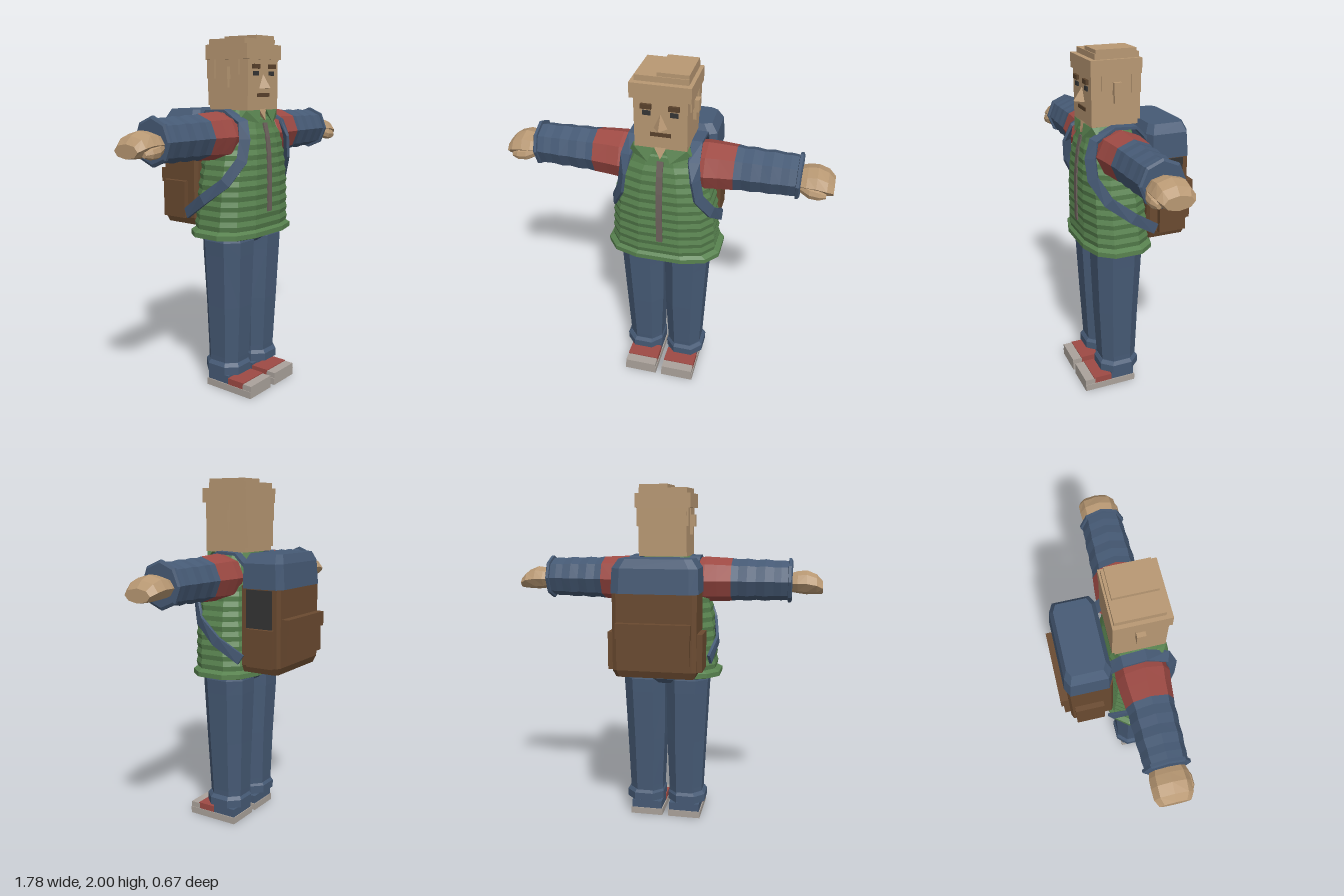
import * as THREE from 'three';
import { ConvexGeometry } from 'three/addons/geometries/ConvexGeometry.js';

const V = (x, y, z) => new THREE.Vector3(x, y, z);
const paint = (name, color) => Object.assign(new THREE.MeshStandardMaterial({ color }), { name });
const skin = paint('skin', 0xb89873), blue = paint('denim blue', 0x465a75), green = paint('vest green', 0x58824f);
const red = paint('sleeve red', 0x9e4a44), brown = paint('pack brown', 0x6a4a30), grey = paint('sole grey', 0xaaa29b);
const metal = paint('zip grey', 0x6c605c), dark = paint('dark grey', 0x343434), brow = paint('brow brown', 0x5a422c);

// Closed faceted skin over cross-sections that run counter-clockwise about the path
function loft(rings) {
  const n = rings[0].length, pos = [], tri = (...p) => p.forEach(q => pos.push(q.x, q.y, q.z));
  for (let i = 0; i < rings.length - 1; i++) for (let j = 0; j < n; j++) {
    const k = (j + 1) % n, a = rings[i], b = rings[i + 1];
    tri(a[j], a[k], b[k]);
    tri(a[j], b[k], b[j]);
  }
  const first = rings[0], last = rings[rings.length - 1];
  for (let j = 1; j < n - 1; j++) {
    tri(first[0], first[j + 1], first[j]);
    tri(last[0], last[j], last[j + 1]);
  }
  const g = new THREE.BufferGeometry();
  g.setAttribute('position', new THREE.Float32BufferAttribute(pos, 3));
  g.computeVertexNormals();
  return g;
}

// Unit cross-section; a small exponent makes it squarer
function section(n, e, turn) {
  const pw = v => Math.sign(v) * Math.abs(v) ** e;
  return Array.from({ length: n }, (_, j) => {
    const a = (j + turn) / n * Math.PI * 2;
    return [pw(Math.cos(a)), pw(Math.sin(a))];
  });
}
// Upright loft, rows are [y, centre x, half width, back z, front z]
const upright = (rows, n, e) => loft(rows.map(([y, cx, rx, z0, z1]) =>
  section(n, e, 0.5).map(([c, s]) => V(cx + rx * s, y, (z0 + z1) / 2 + (z1 - z0) / 2 * c))));
// Sideways loft, rows are [x, half height, half depth, centre y, centre z]
const sideways = rows => loft(rows.map(([x, ry, rz, cy = 1.465, cz = 0.105]) =>
  section(8, 1, 0).map(([c, s]) => V(x, cy + ry * c, cz + rz * s))));
// Flat band along points [x, y, z, normal x, normal y, normal z]
function band(pts, width, thick) {
  const p = pts.map(q => V(q[0], q[1], q[2]));
  return loft(p.map((c, i) => {
    const t = p[Math.min(i + 1, p.length - 1)].clone().sub(p[Math.max(i - 1, 0)]).normalize();
    const m = V(...pts[i].slice(3));
    m.addScaledVector(t, -m.dot(t)).normalize();
    const w = t.clone().cross(m);
    return [[1, 1], [-1, 1], [-1, -1], [1, -1]].map(([a, b]) =>
      c.clone().addScaledVector(m, a * thick / 2).addScaledVector(w, b * width / 2));
  }));
}
const box = (x0, x1, y0, y1, z0, z1) => new THREE.BoxGeometry(x1 - x0, y1 - y0, z1 - z0)
  .translate((x0 + x1) / 2, (y0 + y1) / 2, (z0 + z1) / 2);

function mirrored(geo) {
  const g = geo.index ? geo.toNonIndexed() : geo.clone(), p = g.attributes.position;
  g.scale(-1, 1, 1);
  for (let i = 0; i < p.count; i += 3) {
    const a = V().fromBufferAttribute(p, i + 1), b = V().fromBufferAttribute(p, i + 2);
    p.setXYZ(i + 1, b.x, b.y, b.z);
    p.setXYZ(i + 2, a.x, a.y, a.z);
  }
  g.computeVertexNormals();
  return g;
}

// Piecewise-linear lookup in [y, half width, back z, front z] rows
function sample(rows, y) {
  let i = 0;
  while (i < rows.length - 2 && y > rows[i + 1][0]) i++;
  const t = (y - rows[i][0]) / (rows[i + 1][0] - rows[i][0]);
  return rows[i].map((v, k) => v + (rows[i + 1][k] - v) * t);
}

export function createModel() {
  const model = new THREE.Group();
  model.name = 'backpacker';
  const add = (name, geo, mat, parent = model) => {
    const m = new THREE.Mesh(geo, mat);
    m.name = name;
    parent.add(m);
  };
  const pair = (name, geo, mat, parent) => {
    add(name + 'Left', geo, mat, parent);
    add(name + 'Right', mirrored(geo), mat, parent);
  };

  // Quilted vest: flared hem, then small ridges up to the shoulders
  const form = [[0.95, 0.302, -0.085, 0.293], [1.2, 0.284, -0.062, 0.293], [1.35, 0.258, -0.05, 0.287],
    [1.45, 0.23, -0.04, 0.275], [1.55, 0.175, -0.02, 0.25], [1.59, 0.12, 0, 0.22]];
  const rows = [[0.9, 0, 0.3, -0.08, 0.285], [0.908, 0, 0.33, -0.1, 0.306], [0.935, 0, 0.33, -0.1, 0.306]];
  for (let i = 0; i <= 20; i++) {
    const [y, w, b, f] = sample(form, 0.95 + i * 0.0275), d = i % 2 ? 0.005 : -0.002;
    rows.push([y, 0, w + d, b - d, f + d]);
  }
  rows.push([1.55, 0, 0.175, -0.02, 0.25], [1.59, 0, 0.12, 0, 0.22]);
  add('vest', upright(rows, 12, 0.7), green);
  add('zip', band([1.04, 1.2, 1.35, 1.45, 1.53].map(y => [0.006, y, sample(form, y)[3] + 0.001, 0, 0, 1]), 0.034, 0.009), metal);

  // Collar with two folded points and the neck inside it
  add('collar', upright([[1.52, 0, 0.19, -0.02, 0.25], [1.6, 0, 0.135, -0.005, 0.235]], 12, 0.7), green);
  pair('collarPoint', new ConvexGeometry([V(0.03, 1.6, 0.225), V(0.15, 1.6, 0.2), V(0.17, 1.555, 0.22),
    V(0.06, 1.53, 0.27), V(0.03, 1.6, 0.248), V(0.14, 1.6, 0.24)]), green);
  add('neck', new ConvexGeometry([V(-0.03, 1.605, 0.22), V(0.035, 1.605, 0.22), V(0.006, 1.545, 0.24),
    V(-0.03, 1.605, 0.242), V(0.035, 1.605, 0.242), V(0.006, 1.545, 0.26)]), skin);

  // Arms held straight out
  pair('shoulder', sideways([[0.12, 0.09, 0.09], [0.17, 0.122, 0.135], [0.23, 0.13, 0.142, 1.465, 0.108],
    [0.3, 0.127, 0.134], [0.38, 0.123, 0.126]]), red);
  pair('sleeve', sideways([[0.38, 0.123, 0.126], [0.42, 0.117, 0.12], [0.47, 0.121, 0.123], [0.52, 0.114, 0.117],
    [0.57, 0.119, 0.12], [0.62, 0.112, 0.114], [0.66, 0.114, 0.115], [0.7, 0.11, 0.11]]), blue);
  pair('sleeveCuff', sideways([[0.698, 0.11, 0.11], [0.7, 0.126, 0.123], [0.715, 0.126, 0.123], [0.722, 0.112, 0.11]]), blue);
  pair('hand', sideways([[0.7, 0.05, 0.085, 1.455], [0.75, 0.062, 0.1, 1.457], [0.8, 0.068, 0.102, 1.457],
    [0.855, 0.056, 0.1, 1.447], [0.89, 0.036, 0.08, 1.43]]), skin);
  pair('thumb', sideways([[0.72, 0.03, 0.025, 1.44, 0.17], [0.77, 0.034, 0.03, 1.425, 0.19],
    [0.82, 0.03, 0.026, 1.42, 0.195], [0.855, 0.014, 0.014, 1.415, 0.19]]), skin);

  // Trousers
  add('hips', upright([[0.855, 0, 0.1, 0, 0.2], [0.885, 0, 0.25, -0.03, 0.24], [0.93, 0, 0.25, -0.03, 0.24]], 8, 0.6), blue);
  pair('trouserLeg', upright([[0.14, 0.122, 0.107, -0.005, 0.215], [0.2, 0.122, 0.107, -0.008, 0.22],
    [0.5, 0.122, 0.121, -0.02, 0.235], [0.8, 0.127, 0.13, -0.036, 0.247], [0.88, 0.128, 0.134, -0.038, 0.25],
    [0.91, 0.128, 0.125, -0.03, 0.24]], 8, 0.8), blue);
  pair('trouserCuff', upright([[0.105, 0.128, 0.12, -0.018, 0.235], [0.15, 0.128, 0.12, -0.018, 0.235],
    [0.17, 0.125, 0.107, -0.005, 0.22]], 8, 0.8), blue);

  // Shoes
  pair('ankle', upright([[0.07, 0.115, 0.08, 0.02, 0.18], [0.12, 0.115, 0.08, 0.02, 0.18]], 8, 0.8), blue);
  pair('sole', box(0.018, 0.215, 0, 0.04, 0.02, 0.335), grey);
  pair('toeCap', box(0.022, 0.211, 0.04, 0.072, 0.275, 0.335), grey);
  pair('shoeTongue', box(0.022, 0.211, 0.04, 0.077, 0.17, 0.28), red);
  pair('shoeHeel', box(0.024, 0.209, 0.04, 0.088, 0.025, 0.17), blue);

  // Head, shaped from stacked blocks
  const head = new THREE.Group();
  head.name = 'head';
  head.position.x = 0.006;
  model.add(head);
  add('face', box(-0.138, 0.138, 1.6, 1.9, -0.02, 0.242), skin, head);
  add('hairBand', box(-0.158, 0.158, 1.87, 1.95, -0.035, 0.25), skin, head);
  add('hairBack', box(-0.138, 0.138, 1.625, 1.88, -0.034, 0), skin, head);
  add('hairTop', box(-0.138, 0.138, 1.95, 1.98, -0.025, 0.22), skin, head);
  add('hairSweep', box(-0.025, 0.138, 1.98, 2, -0.01, 0.215), skin, head);
  pair('hairSide', box(0.13, 0.148, 1.77, 1.875, -0.033, 0.02), skin, head);
  pair('sideburn', box(0.13, 0.145, 1.79, 1.875, 0.08, 0.185), skin, head);
  pair('ear', box(0.13, 0.17, 1.765, 1.832, 0.08, 0.125), skin, head);
  pair('earLobe', box(0.13, 0.155, 1.72, 1.78, 0.085, 0.118), skin, head);
  add('nose', new ConvexGeometry([V(0, 1.795, 0.24), V(-0.037, 1.715, 0.24), V(0.037, 1.715, 0.24), V(0, 1.718, 0.292)]), skin, head);
  pair('eyebrow', box(0.044, 0.1, 1.82, 1.845, 0.24, 0.257), brow, head);
  pair('eye', box(0.05, 0.092, 1.784, 1.808, 0.24, 0.249), dark, head);
  add('mouth', box(-0.054, 0.054, 1.67, 1.69, 0.24, 0.248), brow, head);

  // Backpack
  const pack = new THREE.Group();
  pack.name = 'backpack';
  pack.position.x = 0.004;
  model.add(pack);
  add('packBody', upright([[0.95, 0, 0.222, -0.275, -0.05], [0.99, 0, 0.236, -0.292, -0.045], [1.43, 0, 0.236, -0.292, -0.045]], 8, 0.12), brown, pack);
  add('packLid', upright([[1.415, 0, 0.246, -0.305, -0.042], [1.55, 0, 0.24, -0.295, -0.045], [1.6, 0, 0.205, -0.275, -0.07]], 8, 0.25), blue, pack);
  pair('sidePocket', box(0.225, 0.264, 0.99, 1.2, -0.265, -0.105), brown, pack);
  add('sidePanel', box(0.232, 0.239, 1.2, 1.41, -0.25, -0.09), dark, pack);
  add('backPocket', box(-0.2, 0.2, 1.03, 1.2, -0.322, -0.28), brown, pack);
  add('backPocketFlap', box(-0.206, 0.206, 1.175, 1.257, -0.335, -0.28), brown, pack);

  // Straps over the shoulders and round the sides
  pair('strap', band([[0.17, 1.52, -0.06, 0, 0.6, -1], [0.175, 1.592, 0.01, 0, 1, -0.3], [0.17, 1.598, 0.13, 0, 1, 0.3],
    [0.18, 1.54, 0.245, 0.4, 0.4, 1], [0.195, 1.45, 0.272, 0.8, 0, 0.6], [0.213, 1.34, 0.266, 0.8, 0, 0.6],
    [0.272, 1.22, 0.2, 1, 0, 0.4], [0.305, 1.12, 0.07, 1, 0, 0], [0.275, 1.025, -0.075, 1, 0, -0.3]], 0.06, 0.016), blue);
  return model;
}
